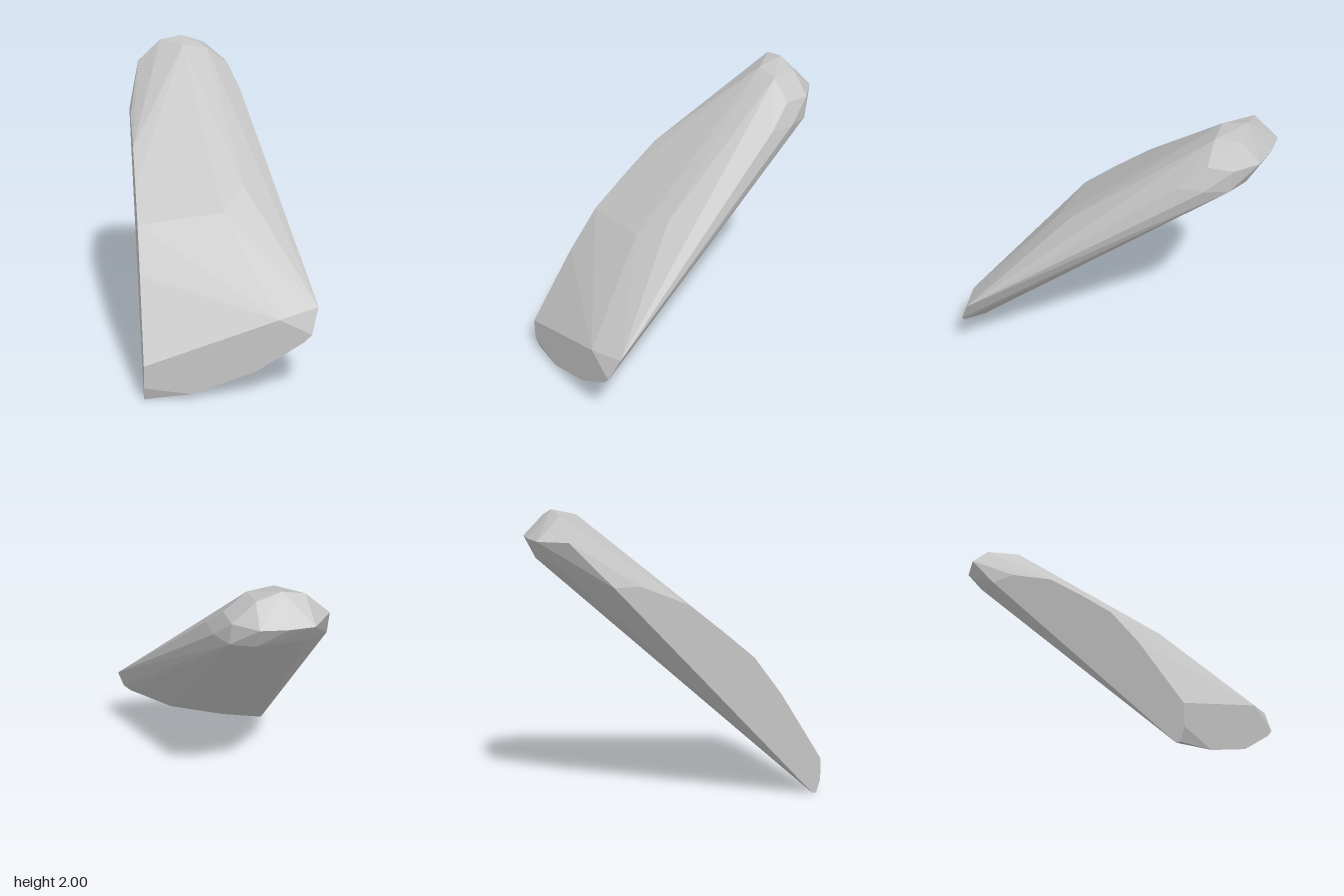
import * as THREE from 'three';
import { ConvexGeometry } from 'three/addons/geometries/ConvexGeometry.js';

export function createModel() {
  const group = new THREE.Group();
  group.name = 'slantedRock';
  const stone = new THREE.MeshStandardMaterial({ color: 0xc4c4c4 });
  stone.name = 'pale grey';

  // Flat cut side, as y and z at constant x
  const side = [[0, 0.92], [0, 0.95], [0.09, 0.98], [0.24, 0.98], [0.73, 0.66], [1.0, 0.45],
    [1.19, 0.22], [1.39, -0.04], [1.53, -0.37], [1.53, -0.55]].map(([y, z]) => [-0.56, y, z]);

  // Blunt lower end, as x and y at constant z
  const foot = [[-0.4, 0.095], [-0.26, 0.035], [0.15, 0.17], [0.46, 0.36], [0.51, 0.41],
    [0.3, 0.52], [0, 0.38], [-0.4, 0.16]].map(([x, y]) => [x, y, 0.98]);

  // Upper slope and the sharp outer corner
  const slope = [[0.56, 0.57, 0.91], [0, 1.07, 0.45], [0.15, 1.2, 0.29], [0, 1.82, -0.5],
    [0.22, 1.67, -0.48], [0.15, 1.82, -0.65], [-0.17, 1.96, -0.65], [0, 1.94, -0.65]];

  // Rounded top end
  const tip = [[-0.48, 1.82, -0.82], [-0.32, 1.97, -0.82], [-0.17, 2, -0.82], [-0.01, 1.95, -0.82],
    [0.14, 1.82, -0.82], [-0.34, 1.82, -0.98], [-0.17, 1.82, -0.98], [0, 1.82, -0.95],
    [-0.48, 1.67, -0.72], [-0.33, 1.67, -0.86], [0, 1.67, -0.87], [0.15, 1.67, -0.8], [0.21, 1.67, -0.65]];

  const points = [...side, ...foot, ...slope, ...tip].map((p) => new THREE.Vector3(...p));
  const rock = new THREE.Mesh(new ConvexGeometry(points), stone);
  rock.name = 'rock';
  group.add(rock);
  return group;
}
